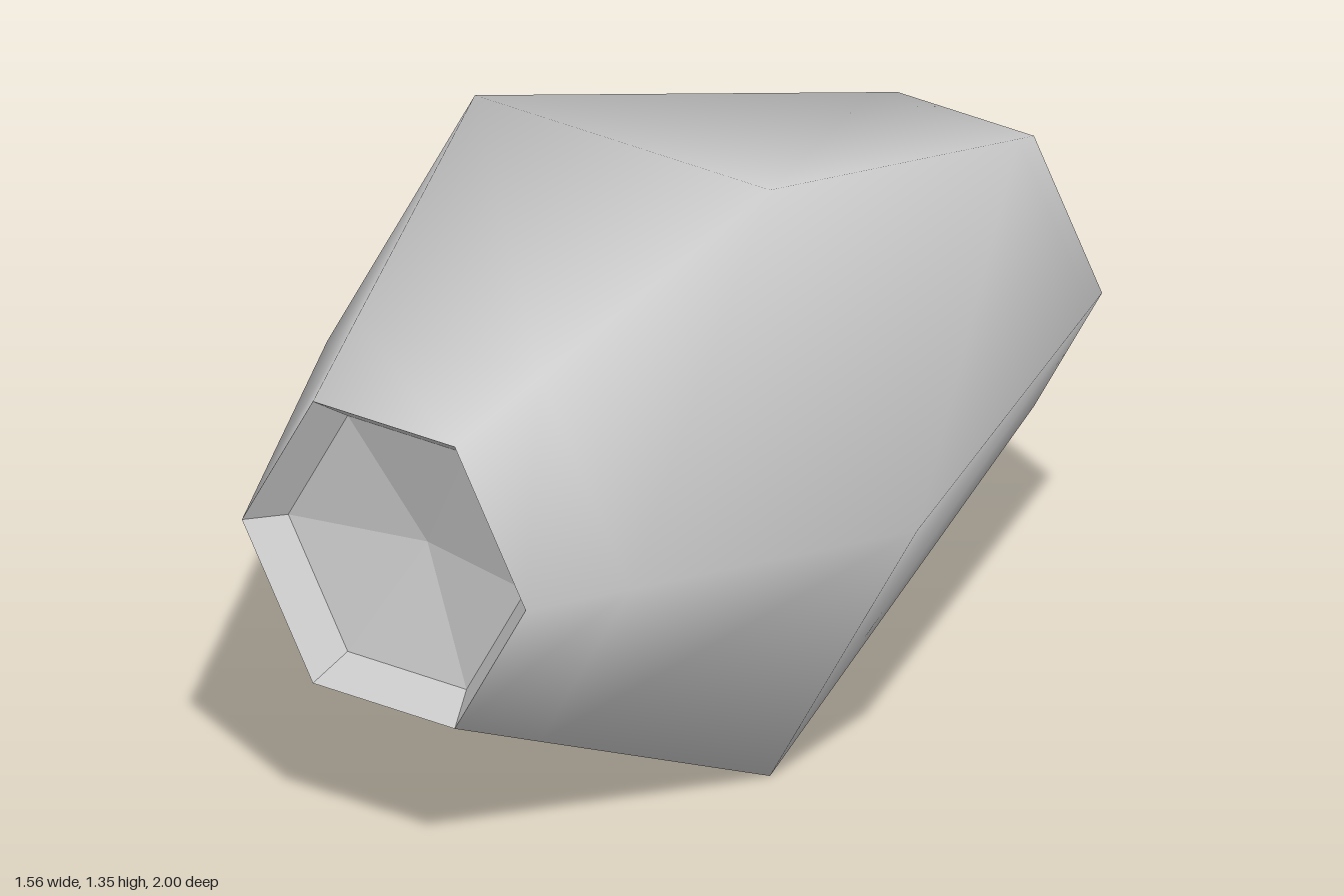
import * as THREE from 'three';

const SIDES = 6;
const MID_Y = 0.675;

// Turns a [radius, z] profile into a six-sided form along the z axis
function hexLathe(profile) {
  const points = profile.map(([r, z]) => new THREE.Vector2(r, z));
  const geometry = new THREE.LatheGeometry(points, SIDES, Math.PI / 2);
  geometry.rotateX(Math.PI / 2);
  return geometry;
}

export function createModel() {
  const group = new THREE.Group();
  group.name = 'hexagonalPod';

  const smooth = new THREE.MeshStandardMaterial({ color: 0xcccccc, side: THREE.DoubleSide });
  const faceted = smooth.clone();
  faceted.flatShading = true;

  const add = (name, geometry, material) => {
    const mesh = new THREE.Mesh(geometry, material);
    mesh.name = name;
    mesh.position.y = MID_Y;
    group.add(mesh);
  };

  // Barrel-shaped shell, open at the rear
  add('hull', hexLathe([
    [0.36, -1], [0.385, -0.93], [0.78, 0.18], [0.484, 0.78], [0.375, 1],
  ]), smooth);

  // Bevelled lip that narrows into the front opening
  add('intakeLip', hexLathe([[0.375, 1], [0.314, 0.92]]), faceted);

  // Six flat blades meeting at a sunken hub
  add('intakeFan', hexLathe([[0.314, 0.92], [0, 0.85]]), faceted);

  return group;
}
